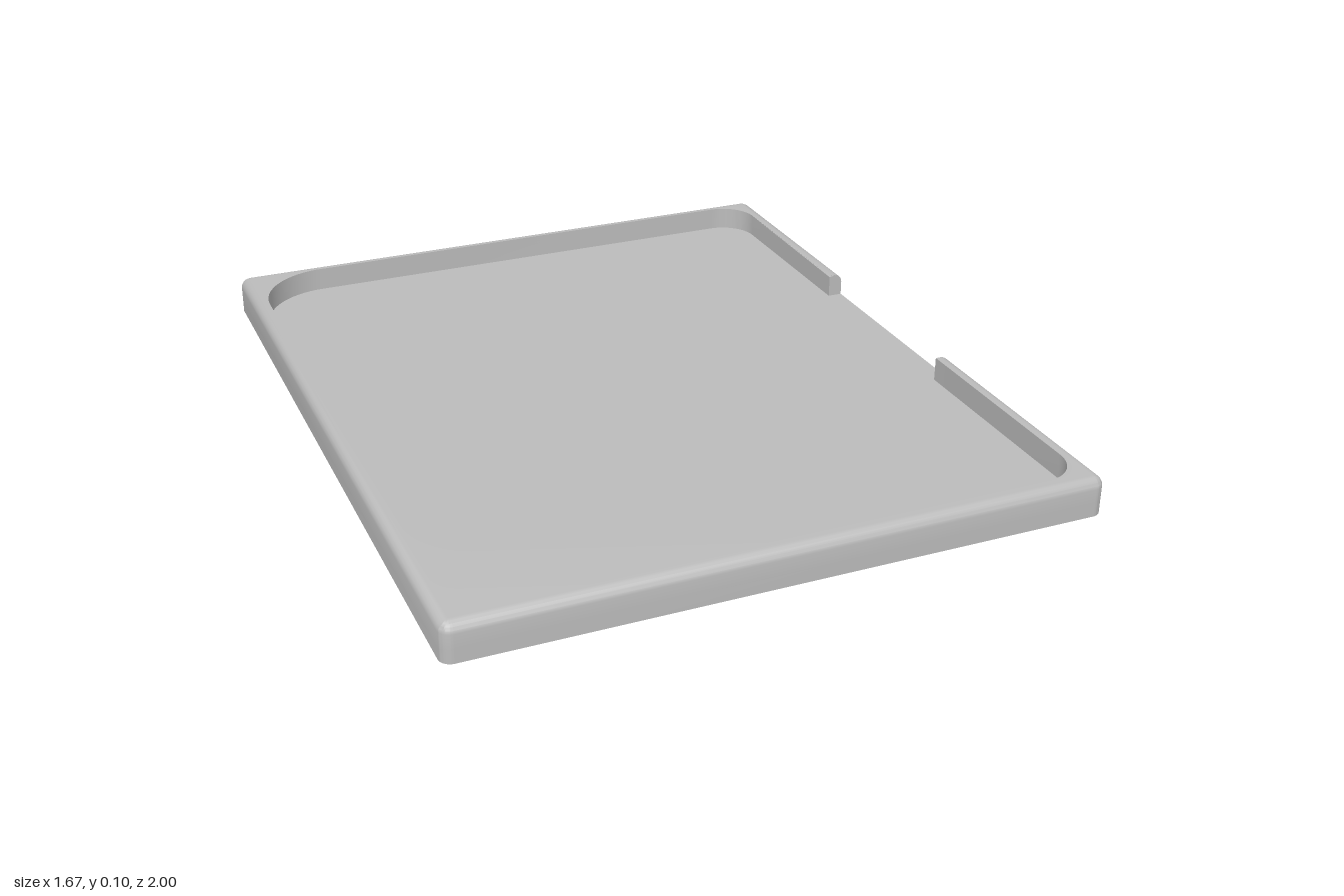
import * as THREE from 'three';
import { toCreasedNormals } from 'three/addons/utils/BufferGeometryUtils.js';

const W = 0.833, D = 1, CORNER = 0.03;      // half width, half depth, plan corner radius
const FLOOR = 0.035, TOP = 0.1, FILLET = 0.026;
const NOTCH_BACK = 0.34, NOTCH_FRONT = -0.27; // side opening, measured towards the back
const INNER_X = 0.793;
const PI = Math.PI, Q = PI / 2;

// Outer outline pulled in by t, seen from above (second axis is -z)
function outerPath(t) {
  const w = W - t, d = D - t, r = CORNER - t, cx = w - r, cy = d - r;
  const s = new THREE.Shape();
  s.moveTo(w, NOTCH_BACK);
  s.lineTo(w, cy);
  s.absarc(cx, cy, r, 0, Q, false);
  s.absarc(-cx, cy, r, Q, PI, false);
  s.absarc(-cx, -cy, r, PI, 3 * Q, false);
  s.absarc(cx, -cy, r, 3 * Q, 4 * Q, false);
  s.lineTo(w, NOTCH_FRONT);
  return s;
}

// Rim outline: outer edge, then back along the cavity edge
function rimPath(t) {
  const s = outerPath(t);
  const x = INNER_X, back = 0.966, front = -0.957;
  s.lineTo(x, NOTCH_FRONT);
  s.absarc(x - 0.1, front + 0.1, 0.1, 0, -Q, true);
  // S-curve around the front left ledge
  s.absarc(0.013, front + 0.09, 0.09, -Q, -PI, true);
  s.absarc(-0.177, -0.84, 0.1, 0, Q, false);
  s.absarc(-x + 0.2, -0.54, 0.2, -Q, -PI, true);
  s.absarc(-x + 0.2, back - 0.2, 0.2, PI, Q, true);
  s.absarc(x - 0.1, back - 0.1, 0.1, Q, 0, true);
  s.lineTo(x, NOTCH_BACK);
  return s;
}

// Skin a stack of matching outlines and cap both ends
function loft(layers) {
  const rings = layers.map(([y, path]) => ({ y, pts: path.getPoints(8) }));
  const n = rings[0].pts.length;
  const pos = [], idx = [];
  for (const { y, pts } of rings) for (const p of pts) pos.push(p.x, y, -p.y);
  for (let k = 0; k < rings.length - 1; k++) {
    for (let i = 0; i < n; i++) {
      const j = (i + 1) % n;
      const a = k * n + i, b = k * n + j, c = b + n, d = a + n;
      idx.push(a, b, c, a, c, d);
    }
  }
  const last = (rings.length - 1) * n;
  for (const [a, b, c] of THREE.ShapeUtils.triangulateShape(rings[0].pts, [])) idx.push(a, c, b);
  for (const [a, b, c] of THREE.ShapeUtils.triangulateShape(rings[rings.length - 1].pts, []))
    idx.push(last + a, last + b, last + c);
  const g = new THREE.BufferGeometry();
  g.setAttribute('position', new THREE.Float32BufferAttribute(pos, 3));
  g.setIndex(idx);
  return toCreasedNormals(g, 0.6);
}

export function createModel() {
  const group = new THREE.Group();
  group.name = 'tray';
  const grey = new THREE.MeshStandardMaterial({ color: 0xbcbcbc });
  grey.name = 'grey';

  // Flat floor slab, flush with the side notch
  const floor = new THREE.Mesh(loft([[0, outerPath(0)], [FLOOR, outerPath(0)]]), grey);
  floor.name = 'floor';

  // Raised rim with a rounded outer top edge
  const layers = [[FLOOR, rimPath(0)]];
  const steps = 5;
  for (let i = 0; i <= steps; i++) {
    const a = (i / steps) * Q;
    layers.push([TOP - FILLET * (1 - Math.sin(a)), rimPath(FILLET * (1 - Math.cos(a)))]);
  }
  const rim = new THREE.Mesh(loft(layers), grey);
  rim.name = 'rim';

  group.add(floor, rim);
  return group;
}
